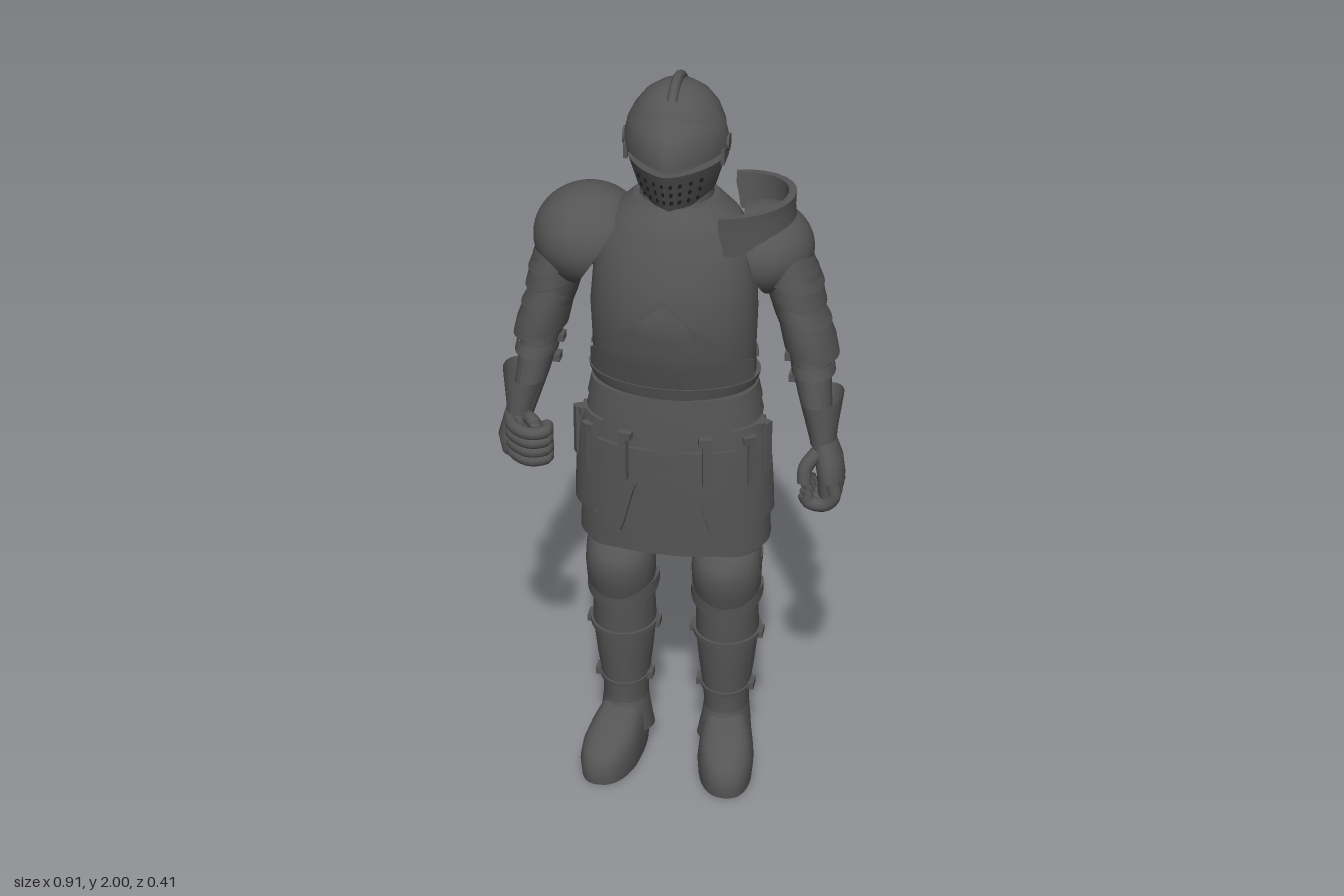
import * as THREE from 'three';
import { toCreasedNormals } from 'three/addons/utils/BufferGeometryUtils.js';

const steel = new THREE.MeshStandardMaterial({ color: 0x555555, side: THREE.DoubleSide });
steel.name = 'darkSteel';
const hole = new THREE.MeshStandardMaterial({ color: 0x1c1c1c, side: THREE.DoubleSide });
hole.name = 'breathHole';
const PI = Math.PI;

function add(group, name, geo, mat = steel) {
  const m = new THREE.Mesh(geo, mat);
  m.name = name;
  group.add(m);
  return m;
}

// Surface grid from f(u, v) -> [x, y, z]
function grid(cols, rows, f, crease = 0.7) {
  const pos = [], idx = [];
  for (let j = 0; j <= rows; j++) for (let i = 0; i <= cols; i++) pos.push(...f(i / cols, j));
  for (let j = 0; j < rows; j++) for (let i = 0; i < cols; i++) {
    const a = j * (cols + 1) + i, b = a + cols + 1;
    idx.push(a, b, b + 1, a, b + 1, a + 1);
  }
  const g = new THREE.BufferGeometry();
  g.setAttribute('position', new THREE.Float32BufferAttribute(pos, 3));
  g.setIndex(idx);
  return toCreasedNormals(g, crease);
}

// Point on a ring [y, xMin, xMax, zBack, zFront, tiltX, tiltZ, dip]; angle 90 degrees is the front
function ringPoint(r, a, n, off = 0) {
  const [y, x0, x1, zb, zf, tx = 0, tz = 0, dip = 0] = r;
  const c = Math.cos(a), s = Math.sin(a), e = 2 / n;
  const px = Math.sign(c) * Math.abs(c) ** e, pz = Math.sign(s) * Math.abs(s) ** e;
  return [(x0 + x1) / 2 + px * ((x1 - x0) / 2 + off), y + tx * c + tz * s - dip * s * s,
    (zb + zf) / 2 + pz * ((zf - zb) / 2 + off)];
}

// Stack of rings listed from bottom to top, optionally capped
function loft(rings, { n = 2, a0 = 0, a1 = 2 * PI, seg = 40, cap = false } = {}) {
  const rows = rings.slice();
  if (cap) {
    const flat = ([y, x0, x1, zb, zf]) => [y, (x0 + x1) / 2, (x0 + x1) / 2, (zb + zf) / 2, (zb + zf) / 2];
    rows.unshift(flat(rings[0]));
    rows.push(flat(rings[rings.length - 1]));
  }
  return grid(seg, rows.length - 1, (u, j) => ringPoint(rows[j], a0 + (a1 - a0) * u, n));
}

// Continuous surface through rings, so that plates can follow it
function skin(rings, n = 2) {
  return (a, y, off = 0) => {
    let i = 0;
    while (i < rings.length - 2 && y > rings[i + 1][0]) i++;
    const t = (y - rings[i][0]) / (rings[i + 1][0] - rings[i][0]);
    const r = rings[i].map((v, k) => v + (rings[i + 1][k] - v) * t);
    return ringPoint(r, a, n, off);
  };
}

// Raised plate lying on a skin between two edge curves, with a turned-in border
function plate(sk, a0, a1, lo, hi, off, rows = 8) {
  return grid(48, rows + 2, (u, j) => {
    const a = a0 + (a1 - a0) * u;
    const t = THREE.MathUtils.clamp((j - 1) / rows, 0, 1);
    const l = lo(a), h = Math.max(hi(a), l + 0.004);
    return sk(a, l + (h - l) * t, j === 0 || j === rows + 2 ? 0 : off);
  });
}

const sym = (y, x, zb, zf, ...rest) => [y, -x, x, zb, zf, ...rest];
const sphere = (x, y, z, r) => new THREE.SphereGeometry(r, 20, 14).translate(x, y, z);
const tube = (pts, r) => new THREE.TubeGeometry(
  new THREE.CatmullRomCurve3(pts.map(p => new THREE.Vector3(...p))), 16, r, 10);

function makeHelmet() {
  const g = new THREE.Group();
  g.name = 'helmet';
  add(g, 'neck', new THREE.CylinderGeometry(0.085, 0.1, 0.12, 28).translate(0, 1.7, -0.055));
  add(g, 'skull', loft([sym(1.69, 0.09, -0.135, 0.02), sym(1.76, 0.11, -0.16, 0.01), sym(1.83, 0.122, -0.178, 0.01),
    sym(1.84, 0.124, -0.18, 0.055), sym(1.88, 0.121, -0.182, 0.06), sym(1.92, 0.106, -0.172, 0.048),
    sym(1.95, 0.082, -0.152, 0.025), sym(1.972, 0.05, -0.12, -0.01), sym(1.982, 0.015, -0.08, -0.05)], { cap: true }));
  add(g, 'crest', new THREE.TorusGeometry(0.119, 0.013, 10, 40, 2.75)
    .rotateZ(-0.45).rotateY(PI / 2).translate(0, 1.868, -0.064));
  // Pointed visor in two halves with the eye slit between them
  const v = (y, x, zf) => sym(y, x, -0.1 - zf, zf);
  add(g, 'upperVisor', loft([v(1.82, 0.1, 0.085), v(1.82, 0.13, 0.115), v(1.85, 0.131, 0.113), v(1.89, 0.122, 0.092),
    v(1.925, 0.104, 0.045)], { n: 1.55, a0: -0.15, a1: PI + 0.15 }));
  const lower = [v(1.68, 0.075, 0.058), v(1.72, 0.1, 0.078), v(1.8, 0.125, 0.115)];
  add(g, 'lowerVisor', loft([...lower, v(1.8, 0.1, 0.09)], { n: 1.55, a0: 0, a1: PI }));
  const face = skin(lower, 1.55);
  for (const s of [-1, 1]) {
    add(g, 'visorPivot', new THREE.CylinderGeometry(0.022, 0.022, 0.014, 16).rotateZ(PI / 2).translate(s * 0.127, 1.835, -0.05));
    add(g, 'visorSidePlate', new THREE.BoxGeometry(0.01, 0.04, 0.07).translate(s * 0.122, 1.81, -0.04));
    for (let r = 0; r < 3; r++) for (let k = 0; k < 4; k++) {
      const a = PI / 2 - s * (0.16 + k * 0.22), y = 1.715 + r * 0.027;
      const m = add(g, 'breathHole', new THREE.CircleGeometry(0.006, 10), hole);
      m.position.set(...face(a, y, 0.003));
      m.rotation.y = s * 0.75;
    }
  }
  return g;
}

function makeTorso() {
  const g = new THREE.Group();
  g.name = 'torso';
  const rings = [sym(1.18, 0.2, -0.15, 0.1), sym(1.21, 0.212, -0.158, 0.108), sym(1.3, 0.212, -0.17, 0.135),
    sym(1.4, 0.215, -0.18, 0.15), sym(1.5, 0.208, -0.19, 0.135), sym(1.58, 0.195, -0.195, 0.108),
    sym(1.64, 0.155, -0.18, 0.085), sym(1.69, 0.1, -0.15, 0.05)];
  add(g, 'cuirass', loft(rings, { seg: 56, cap: true }));
  const body = skin(rings);
  add(g, 'lowerBreastplate', plate(body, 0.08 * PI, 0.92 * PI, () => 1.21,
    a => 1.475 - Math.abs(body(a, 1.35)[0]), 0.008));
  add(g, 'gorget', plate(body, 0, 2 * PI, a => 1.63 - 0.085 * Math.sin(a) ** 2, () => 1.69, 0.008));
  add(g, 'waistRim', plate(body, 0, 2 * PI, a => 1.19 - 0.01 * Math.sin(a), () => 1.215, 0.012, 3));
  add(g, 'backRim', plate(body, PI, 2 * PI, () => 1.255, () => 1.27, 0.006, 2));

  // Skirt with its waist lames, tassets and straps
  const sr = [sym(0.71, 0.255, -0.19, 0.108), sym(0.9, 0.248, -0.185, 0.112), sym(1.02, 0.24, -0.178, 0.112),
    sym(1.1, 0.222, -0.17, 0.108), sym(1.19, 0.203, -0.155, 0.098)];
  add(g, 'skirt', loft(sr, { n: 2.3, seg: 56 }));
  const skirt = skin(sr, 2.3);
  add(g, 'waistBand', plate(skirt, 0, 2 * PI, () => 1.13, () => 1.18, 0.012, 3));
  add(g, 'fauld', plate(skirt, 0, 2 * PI, a => 1.09 - (Math.sin(a) > 0 ? 0.06 : 0.04) * Math.abs(Math.sin(a)) ** 3,
    () => 1.14, 0.007, 4));
  const arch = a => {
    const x = Math.abs(skirt(a, 0.9)[0]);
    return x > 0.115 ? 0.77 + (x - 0.115) * 0.2 : x > 0.08 ? 0.92 - (x - 0.08) * 4.2 : 0.98 - x * 0.75;
  };
  add(g, 'frontTasset', plate(skirt, 0.22 * PI, 0.78 * PI, arch, () => 1.03, 0.008));
  for (const s of [-1, 1]) {
    const at = a => PI / 2 - s * a;
    add(g, 'sideTasset', plate(skirt, s > 0 ? 0.02 * PI : 0.74 * PI, s > 0 ? 0.26 * PI : 0.98 * PI,
      () => 0.81, () => 1.09, 0.016));
    for (const [a, y] of [[0.38, 1.01], [0.95, 1.0], [1.3, 1.02]]) {
      const m = add(g, 'strap', new THREE.BoxGeometry(0.022, 0.14, 0.016));
      m.position.set(...skirt(at(a), y, 0.018));
      m.rotation.y = s * a * 0.8;
      const b = add(g, 'strapBuckle', new THREE.BoxGeometry(0.034, 0.02, 0.02));
      b.position.set(...skirt(at(a), y + 0.06, 0.018));
      b.rotation.y = s * a * 0.8;
    }
  }
  return g;
}

function makeLeg() {
  const g = new THREE.Group();
  const rings = [[0.06, 0.075, 0.205, -0.135, 0.045], [0.12, 0.08, 0.203, -0.125, 0.03], [0.2, 0.078, 0.203, -0.122, 0.03],
    [0.3, 0.066, 0.217, -0.132, 0.045], [0.4, 0.056, 0.228, -0.14, 0.053], [0.5, 0.058, 0.226, -0.13, 0.058],
    [0.58, 0.06, 0.225, -0.125, 0.062], [0.7, 0.055, 0.235, -0.138, 0.058], [0.9, 0.05, 0.235, -0.14, 0.06]];
  add(g, 'legArmour', loft(rings));
  const leg = skin(rings);
  const band = (name, lo, hi, off) => add(g, name, plate(leg, 0, 2 * PI, () => lo, () => hi, off, 2));
  band('greaveTopRim', 0.395, 0.41, 0.007);
  band('ankleStrap', 0.218, 0.232, 0.005);
  band('thighRim', 0.625, 0.65, 0.007);
  add(g, 'ankleFlare', loft([[0.05, 0.062, 0.212, -0.14, 0.06, 0, 0.03], [0.12, 0.075, 0.207, -0.128, 0.036, 0, 0.02],
    [0.16, 0.08, 0.203, -0.124, 0.03]]));
  // Rounded knee cap with pointed lames
  add(g, 'kneeCap', loft([[0.53, 0.06, 0.228, -0.11, 0.068, 0, 0, 0.015], [0.57, 0.052, 0.236, -0.11, 0.086],
    [0.62, 0.05, 0.238, -0.11, 0.096], [0.66, 0.052, 0.236, -0.11, 0.09], [0.69, 0.056, 0.234, -0.11, 0.062]],
  { a0: -0.15, a1: PI + 0.15 }));
  add(g, 'kneeLame', plate(leg, -0.3, PI + 0.3, a => 0.53 - 0.03 * Math.sin(a), () => 0.56, 0.014, 3));
  for (const [y, a] of [[0.23, 0.15], [0.23, PI - 0.15], [0.4, 0.05], [0.4, PI - 0.05]])
    add(g, 'buckle', new THREE.BoxGeometry(0.016, 0.02, 0.04).translate(...leg(a, y, 0.006)));
  // Broad shoe, narrow at the heel and turned slightly outward
  const shoe = loft([[0, 0.075, 0.23, -0.128, 0.198], [0.045, 0.072, 0.234, -0.13, 0.203], [0.08, 0.076, 0.23, -0.128, 0.185],
    [0.105, 0.08, 0.222, -0.125, 0.145], [0.125, 0.088, 0.212, -0.12, 0.085], [0.15, 0.095, 0.2, -0.11, 0.03]],
  { n: 2.4, cap: true });
  const p = shoe.attributes.position;
  for (let i = 0; i < p.count; i++) {
    const z = p.getZ(i);
    p.setX(i, 0.15 + (p.getX(i) - 0.153) * (0.93 + 0.5 * Math.min(z, 0.1)) + 0.12 * z);
  }
  add(g, 'shoe', toCreasedNormals(shoe, 0.7));
  return g;
}

function makeArm() {
  const g = new THREE.Group();
  add(g, 'shoulderJoint', sphere(0.235, 1.555, -0.05, 0.082));
  add(g, 'armArmour', loft([[1.06, 0.365, 0.425, 0.0, 0.08], [1.18, 0.325, 0.412, -0.06, 0.06], [1.27, 0.3, 0.405, -0.1, 0.045],
    [1.34, 0.278, 0.398, -0.12, 0.042], [1.4, 0.255, 0.38, -0.122, 0.05], [1.5, 0.225, 0.36, -0.122, 0.058],
    [1.6, 0.195, 0.325, -0.115, 0.05]], { cap: true }));
  add(g, 'upperArmLame', loft([[1.44, 0.24, 0.388, -0.135, 0.066, -0.02], [1.53, 0.225, 0.366, -0.13, 0.06, -0.02]]));
  add(g, 'shoulderLame', loft([[1.49, 0.22, 0.38, -0.145, 0.07, -0.02], [1.6, 0.2, 0.335, -0.125, 0.056, -0.02]]));
  add(g, 'elbowCop', loft([[1.29, 0.282, 0.424, -0.13, 0.058, -0.015], [1.335, 0.272, 0.414, -0.138, 0.06, -0.015],
    [1.385, 0.262, 0.395, -0.13, 0.054, -0.015]]));
  add(g, 'elbowLame', loft([[1.385, 0.255, 0.402, -0.138, 0.06, -0.02], [1.43, 0.248, 0.378, -0.126, 0.054, -0.02]]));
  add(g, 'forearmRim', loft([[1.235, 0.306, 0.418, -0.095, 0.06], [1.265, 0.3, 0.412, -0.105, 0.052]]));
  for (const y of [1.21, 1.27])
    add(g, 'armBuckle', new THREE.BoxGeometry(0.025, 0.02, 0.035).translate(0.312 - (y - 1.21) * 0.2, y, -0.02));
  add(g, 'gauntletCuff', loft([[1.06, 0.365, 0.432, -0.005, 0.09], [1.1, 0.358, 0.434, -0.02, 0.088],
    [1.175, 0.335, 0.445, -0.06, 0.085, 0.015]]));
  return g;
}

// Domed shoulder plate, open toward the neck
function shoulderDome(c, r, tilt, extent) {
  return new THREE.SphereGeometry(1, 36, 18, 0, 2 * PI, 0, extent).rotateZ(-tilt).scale(...r).translate(...c);
}

export function createModel() {
  const model = new THREE.Group();
  model.name = 'armouredFigure';
  model.add(makeHelmet(), makeTorso());
  for (const [side, s] of [['left', 1], ['right', -1]]) {
    const leg = makeLeg(), arm = makeArm();
    leg.name = side + 'Leg';
    arm.name = side + 'Arm';
    if (s > 0) {
      // Shoulder with an upright guard around the neck side
      add(arm, 'shoulderPlate', shoulderDome([0.215, 1.555, -0.055], [0.135, 0.115, 0.145], 1.3, 1.6));
      add(arm, 'shoulderGuard', loft([[1.585, 0.0, 0.31, -0.2, 0.085], [1.655, -0.02, 0.3, -0.205, 0.088, 0.01],
        [1.69, -0.02, 0.302, -0.208, 0.092, 0.015], [1.69, 0, 0.282, -0.19, 0.074, 0.015], [1.6, 0.02, 0.285, -0.18, 0.065]],
      { a0: -1.65, a1: 1.65, seg: 14 }));
      // Lowered hand with fingers curling inward
      add(arm, 'hand', loft([[0.93, 0.392, 0.455, 0.015, 0.12], [0.98, 0.388, 0.46, 0.0, 0.122], [1.03, 0.378, 0.452, 0.0, 0.108],
        [1.08, 0.37, 0.43, 0.0, 0.085]], { cap: true }));
      for (let k = 0; k < 4; k++) {
        const z = 0.025 + k * 0.028;
        add(arm, 'finger', tube([[0.43, 0.98, z], [0.438, 0.94, z], [0.415, 0.912, z], [0.375, 0.915, z], [0.362, 0.94, z]], 0.019));
      }
      add(arm, 'thumb', tube([[0.39, 1.05, 0.08], [0.362, 1.01, 0.1], [0.36, 0.97, 0.11]], 0.019));
    } else {
      add(arm, 'shoulderPlate', shoulderDome([0.225, 1.555, -0.055], [0.143, 0.13, 0.152], 1.05, 1.85));
      // Raised hand with fingers bent forward around an empty grip
      add(arm, 'hand', loft([[0.975, 0.37, 0.44, 0.03, 0.115], [1.02, 0.368, 0.45, 0.02, 0.115], [1.08, 0.365, 0.435, 0.0, 0.09]],
        { cap: true }));
      for (let k = 0; k < 4; k++) {
        const y = 0.988 + k * 0.026;
        add(arm, 'finger', tube([[0.42, y, 0.06], [0.4, y, 0.115], [0.35, y, 0.148], [0.31, y, 0.128], [0.315, y, 0.095]], 0.017));
      }
      add(arm, 'thumb', tube([[0.385, 1.06, 0.05], [0.36, 1.075, 0.085], [0.34, 1.07, 0.11]], 0.018));
    }
    leg.scale.x = arm.scale.x = s;
    model.add(leg, arm);
  }
  return model;
}
